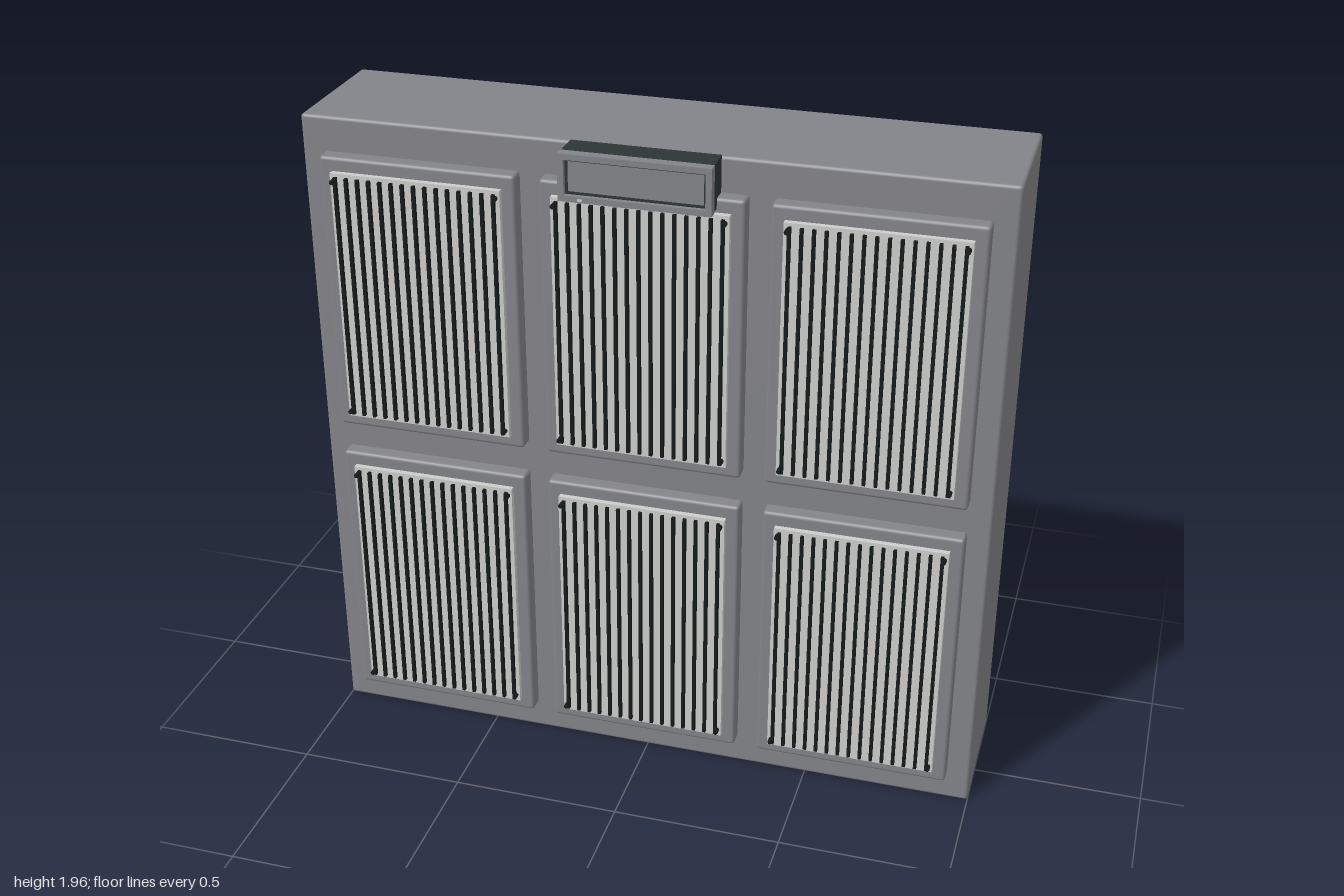
import * as THREE from 'three';
import { RoundedBoxGeometry } from 'three/addons/geometries/RoundedBoxGeometry.js';

const mat = (name, color) => {
  const m = new THREE.MeshStandardMaterial({ color });
  m.name = name;
  return m;
};

export function createModel() {
  const root = new THREE.Group();
  root.name = 'ventCabinet';
  const grey = mat('casing grey', 0x838489);
  const light = mat('grille light grey', 0xcdcecb);
  const black = mat('slot black', 0x151a1a);
  const dark = mat('bracket dark green', 0x2c3634);

  const add = (parent, name, geo, material, x, y, z) => {
    const mesh = new THREE.Mesh(geo, material);
    mesh.name = name;
    mesh.position.set(x, y, z);
    parent.add(mesh);
    return mesh;
  };

  // Rectangular ring, extruded forward from z = 0
  const ring = (w, h, border, depth) => {
    const rect = (P, a, b) => {
      const p = new P();
      p.moveTo(-a, -b).lineTo(a, -b).lineTo(a, b).lineTo(-a, b).closePath();
      return p;
    };
    const s = rect(THREE.Shape, w / 2, h / 2);
    s.holes.push(rect(THREE.Path, w / 2 - border, h / 2 - border));
    return new THREE.ExtrudeGeometry(s, { depth, bevelEnabled: false });
  };

  // Main casing
  add(root, 'casing', new RoundedBoxGeometry(2, 1.96, 0.42, 2, 0.01), grey, 0, 0.98, -0.055);

  // Six grille panels
  const panelGeo = new RoundedBoxGeometry(0.576, 0.838, 0.065, 2, 0.01);
  const plateGeo = new THREE.BoxGeometry(0.5, 0.758, 0.022);
  const barGeo = new THREE.BoxGeometry(0.0095, 0.738, 0.014);
  const screwGeo = new THREE.CylinderGeometry(0.007, 0.007, 0.022, 10).rotateX(Math.PI / 2);
  const bars = 15, pitch = 0.0333;
  for (const y of [0.508, 1.44]) {
    for (const x of [-0.645, 0, 0.645]) {
      const panel = new THREE.Group();
      panel.name = 'grillePanel';
      panel.position.set(x, y, 0);
      root.add(panel);
      add(panel, 'panelFrame', panelGeo, grey, 0, 0, 0.1675);
      add(panel, 'grillePlate', plateGeo, light, 0, 0, 0.206);
      for (let i = 0; i < bars; i++) {
        add(panel, 'grilleBar', barGeo, black, (i - (bars - 1) / 2) * pitch, 0, 0.221);
      }
      for (const sx of [-1, 1]) {
        for (const sy of [-1, 1]) {
          add(panel, 'screw', screwGeo, black, sx * 0.238, sy * 0.358, 0.225);
        }
      }
    }
  }

  // Display box at the top edge
  const display = new THREE.Group();
  display.name = 'displayBox';
  display.position.set(0, 1.896, 0);
  root.add(display);
  add(display, 'displayBracket', new THREE.BoxGeometry(0.42, 0.132, 0.085), dark, 0, 0, 0.1925);
  add(display, 'displayFrame', ring(0.424, 0.134, 0.017, 0.03), grey, 0, 0, 0.232);
  add(display, 'displayRim', ring(0.39, 0.1, 0.007, 0.014), dark, 0, 0, 0.234);
  add(display, 'displayScreen', new THREE.BoxGeometry(0.378, 0.088, 0.012), grey, 0, 0, 0.239);
  add(display, 'displayLight', new THREE.BoxGeometry(0.012, 0.006, 0.004), light, -0.15, -0.059, 0.263);
  return root;
}
